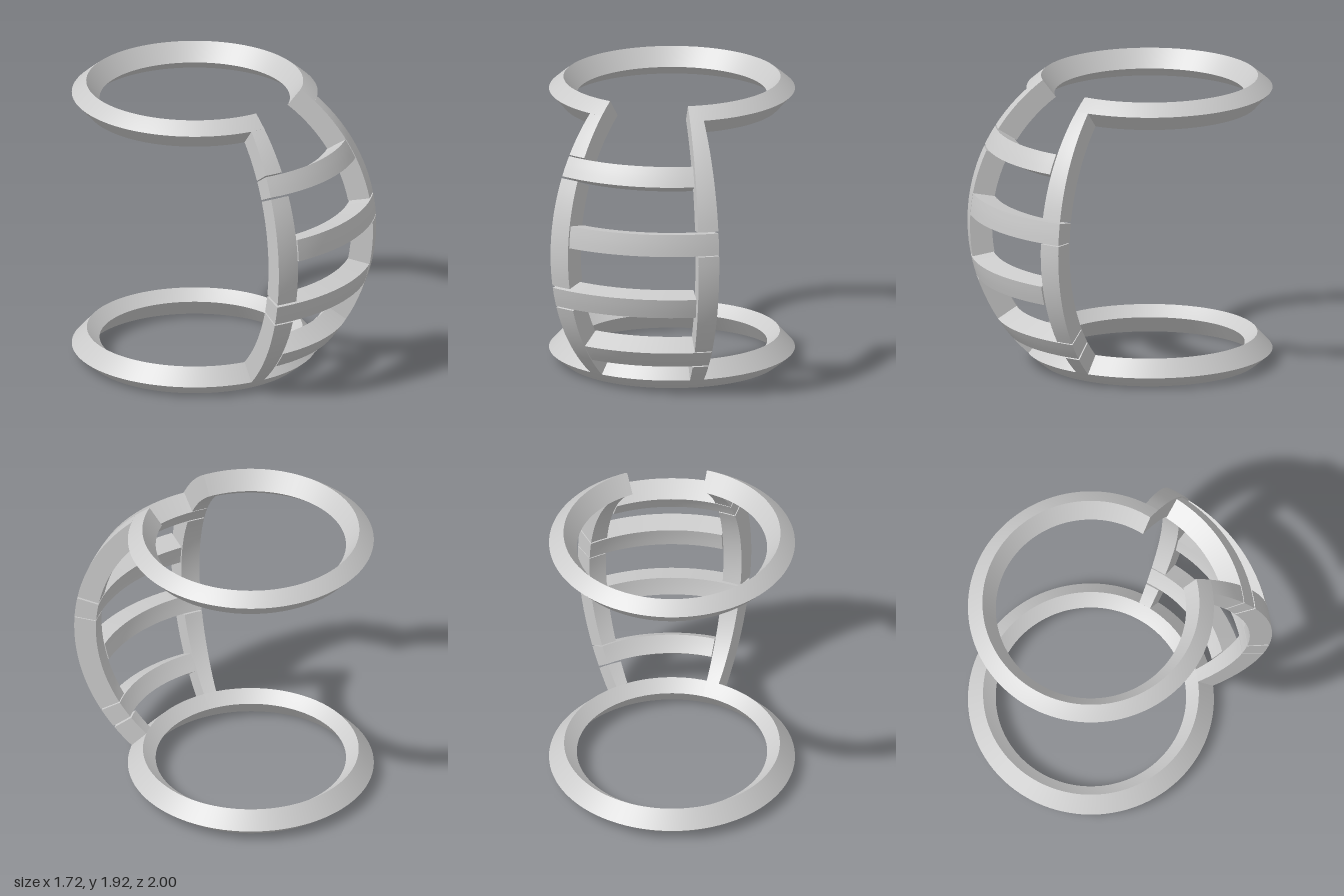
import * as THREE from 'three';

const OUTER = 1.195, INNER = 1.048;          // radii of the spherical shell
const CENTER = new THREE.Vector3(-0.055, 0.96, -0.195);
const rad = THREE.MathUtils.degToRad;

// Block of the spherical shell: azimuth a0..a1 (from +z towards +x), polar angle p0..p1 (from +y)
function shellBlock(a0, a1, p0, p1) {
  const na = Math.max(2, Math.ceil((a1 - a0) / 3));
  const np = Math.max(2, Math.ceil((p1 - p0) / 3));
  const geo = new THREE.BoxGeometry(1, 1, 1, na, np, 1);
  const pos = geo.attributes.position;
  for (let i = 0; i < pos.count; i++) {
    const az = rad(THREE.MathUtils.lerp(a0, a1, pos.getX(i) + 0.5));
    const polar = rad(THREE.MathUtils.lerp(p1, p0, pos.getY(i) + 0.5));
    const r = THREE.MathUtils.lerp(INNER, OUTER, pos.getZ(i) + 0.5);
    pos.setXYZ(i,
      r * Math.sin(polar) * Math.sin(az),
      r * Math.cos(polar),
      r * Math.sin(polar) * Math.cos(az));
  }
  geo.computeVertexNormals();
  return geo;
}

export function createModel() {
  const group = new THREE.Group();
  const material = new THREE.MeshStandardMaterial({ color: 0xcccccc });

  const add = (name, ...range) => {
    const mesh = new THREE.Mesh(shellBlock(...range), material);
    mesh.name = name;
    mesh.position.copy(CENTER);
    group.add(mesh);
  };

  // Rings: the top one is open between the two staves
  add('topRing', 43.2, 360, 36.5, 42.4);
  add('bottomRing', 0, 360, 137.6, 143.5);

  // Rungs: alternately crossing the right and the left stave
  add('rung1', -7, 42.6, 57.9, 64.6);
  add('rung2', 0.4, 49.8, 79.5, 86.5);
  add('rung3', -7, 42.6, 101, 107.5);
  add('rung4', 0.4, 49.8, 122.3, 128.9);

  // Staves, interrupted by small gaps where a rung crosses
  [[42.4, 57.5], [65.2, 100.2], [108, 137.6]].forEach(([p0, p1], i) =>
    add(`rightStave${i + 1}`, -7, 0, p0, p1));
  [[42.4, 78.9], [86.8, 121.9], [129.5, 137.6]].forEach(([p0, p1], i) =>
    add(`leftStave${i + 1}`, 43.2, 49.8, p0, p1));

  return group;
}
